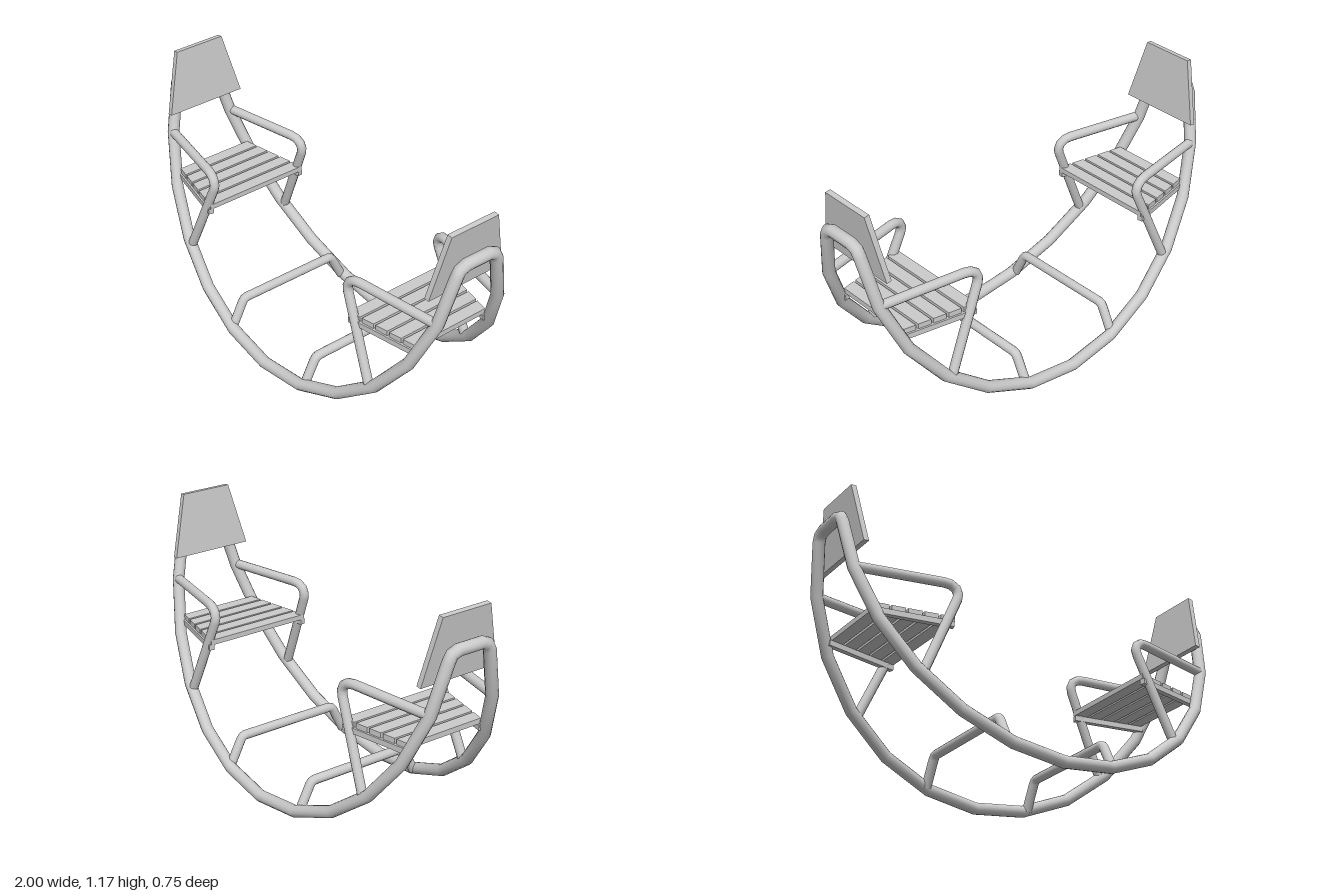
import * as THREE from 'three';

const steel = new THREE.MeshStandardMaterial({ color: 0xcccccc });
const V = (x, y, z) => new THREE.Vector3(x, y, z);

// Curve whose tube rings fall exactly on the given points
class PipePath extends THREE.Curve {
  constructor(points, closed) {
    super();
    this.points = points;
    this.closed = closed;
    this.count = closed ? points.length : points.length - 1;
  }
  at(i) {
    const n = this.points.length;
    return this.points[this.closed ? (i + n) % n : Math.min(Math.max(i, 0), n - 1)];
  }
  getPointAt(u, target = V(0, 0, 0)) {
    return target.copy(this.at(Math.round(u * this.count)));
  }
  getTangentAt(u, target = V(0, 0, 0)) {
    const i = Math.round(u * this.count), p = this.at(i);
    const before = p.clone().sub(this.at(i - 1)).normalize();
    const after = this.at(i + 1).clone().sub(p).normalize();
    return target.copy(before).add(after).normalize();
  }
}

function pipe(name, points, radius, closed = false) {
  const path = new PipePath(points, closed);
  const mesh = new THREE.Mesh(new THREE.TubeGeometry(path, path.count, radius, 12, closed), steel);
  mesh.name = name;
  return mesh;
}

// Box whose half depth in z changes linearly along one axis
function taperedBox(name, w, h, axis, halfLow, halfHigh) {
  const geo = new THREE.BoxGeometry(w, h, 2);
  const pos = geo.attributes.position;
  const size = axis === 'x' ? w : h;
  for (let i = 0; i < pos.count; i++) {
    const t = (axis === 'x' ? pos.getX(i) : pos.getY(i)) / size + 0.5;
    pos.setZ(i, pos.getZ(i) * THREE.MathUtils.lerp(halfLow, halfHigh, t));
  }
  geo.computeVertexNormals();
  const mesh = new THREE.Mesh(geo, steel);
  mesh.name = name;
  return mesh;
}

// Continuous rocker loop: two leaning arcs joined by rounded top bars
function rockerFrame() {
  const quarter = [];
  for (let i = 0; i <= 5; i++) {
    const a = (i * Math.PI) / 12, y = 1.005 - 0.97 * Math.cos(a);
    quarter.push(V(0.97 * Math.sin(a), y, 0.345 - 0.25 * (y - 0.035)));
  }
  quarter.push(V(0.97, 0.985, 0.108), V(0.972, 1.015, 0.093), V(0.972, 1.027, 0.06));
  const flip = (p, sx, sz) => V(p.x * sx, p.y, p.z * sz);
  const back = quarter.map(p => flip(p, 1, -1)).reverse();
  const half = [...quarter, ...back];
  const other = half.slice(1, -1).reverse().map(p => flip(p, -1, 1));
  return pipe('rockerFrame', [...half, ...other], 0.028, true);
}

// One seat on the +x end
function seat() {
  const group = new THREE.Group();
  const halfWidth = x => 0.265 - (x - 0.5) * 0.2;

  for (let i = 0; i < 5; i++) {
    const x = 0.531 + i * 0.071;
    const slat = taperedBox('seatSlat', 0.06, 0.025, 'x', halfWidth(x - 0.03), halfWidth(x + 0.03));
    slat.position.set(x, 0.592, 0);
    group.add(slat);
  }

  for (const s of [1, -1]) {
    // Rail under the slat ends
    const rail = new THREE.Mesh(new THREE.BoxGeometry(0.36, 0.026, 0.025), steel);
    rail.name = 'seatRail';
    rail.position.set(0.68, 0.567, s * (halfWidth(0.68) - 0.004));
    rail.rotation.y = s * Math.atan(0.2);
    group.add(rail);

    // Bent armrest and its slanting leg
    group.add(pipe('armrest', [
      V(0.935, 0.757, s * 0.168), V(0.545, 0.767, s * 0.24), V(0.513, 0.763, s * 0.246),
      V(0.489, 0.747, s * 0.25), V(0.479, 0.722, s * 0.252), V(0.485, 0.695, s * 0.254),
      V(0.655, 0.305, s * 0.277),
    ], 0.022));
  }

  // Leaning trapezoid back panel
  const panel = taperedBox('backrest', 0.025, 0.298, 'y', 0.2, 0.125);
  panel.position.set(0.919, 1.025, 0);
  panel.rotation.z = -0.115;
  group.add(panel);
  return group;
}

// Raised foot bar between the two arcs
function footBar(x) {
  const side = [V(x, 0.203, 0.242), V(x, 0.198, 0.257), V(x, 0.184, 0.268), V(x, 0.07, 0.325)];
  const other = side.map(p => V(p.x, p.y, -p.z)).reverse();
  return pipe('footBar', [...other, ...side], 0.022);
}

export function createModel() {
  const model = new THREE.Group();
  model.name = 'seesawRocker';
  model.add(rockerFrame(), footBar(0.27), footBar(-0.27));
  const left = seat(), right = seat();
  left.name = 'leftSeat';
  right.name = 'rightSeat';
  right.rotation.y = Math.PI;
  model.add(left, right);
  return model;
}
